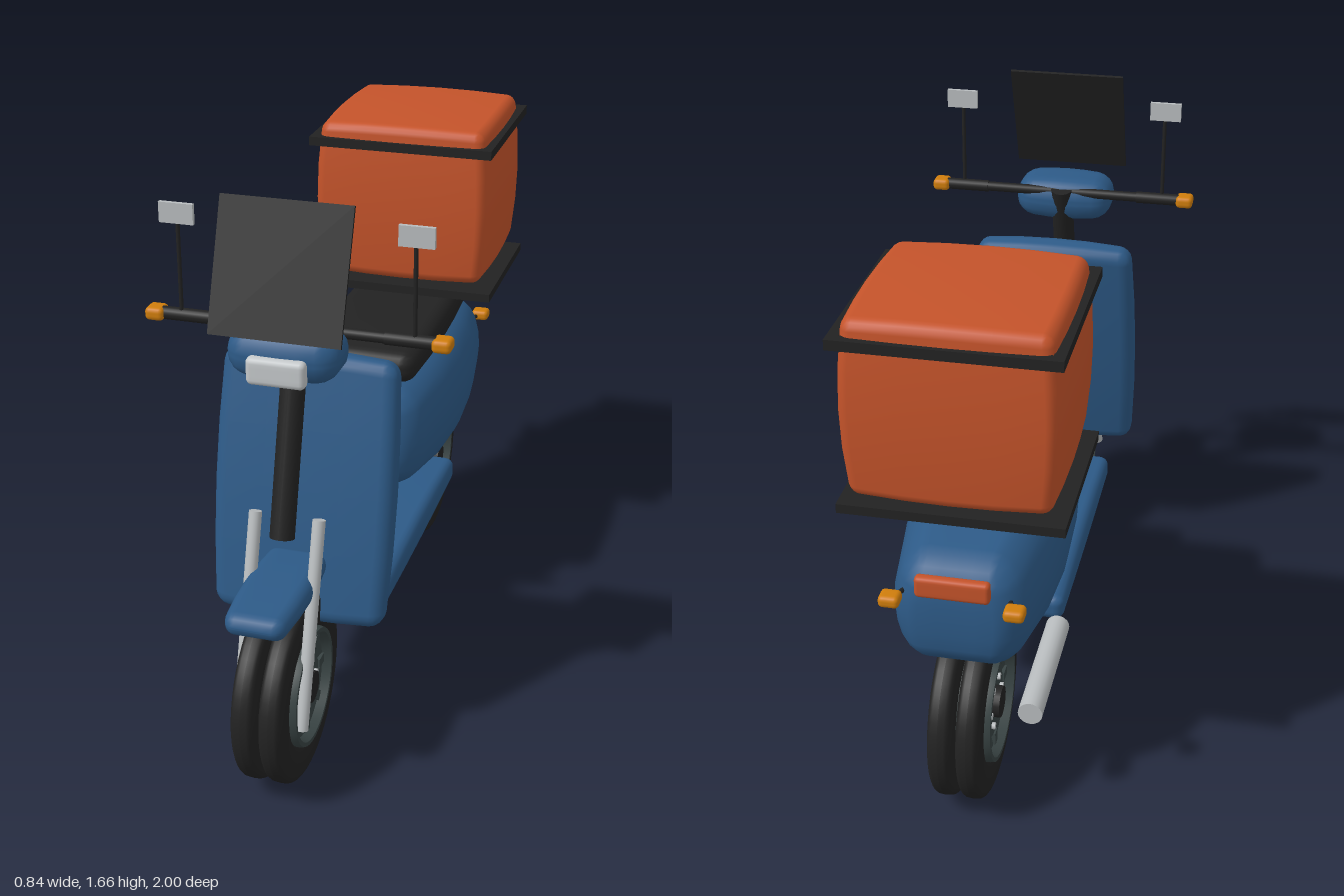
import * as THREE from 'three';
import { mergeVertices, toCreasedNormals } from 'three/addons/utils/BufferGeometryUtils.js';

const paint = (name, color) => new THREE.MeshStandardMaterial({ name, color });
const blue = paint('body blue', 0x2d5a87);
const orange = paint('cargo orange', 0xc4532a);
const black = paint('rubber black', 0x222222);
const slate = paint('rim slate', 0x384343);
const silver = paint('silver', 0xb8bcbe);
const lens = paint('lamp lens', 0xc4c8ca);
const amber = paint('signal amber', 0xcf7d0c);

function add(parent, name, geometry, material, x = 0, y = 0, z = 0) {
  const mesh = new THREE.Mesh(geometry, material);
  mesh.name = name;
  mesh.position.set(x, y, z);
  parent.add(mesh);
  return mesh;
}

// Rounded, pillowed box. A taper such as { yz: 0.2 } shrinks y by 20% towards the z ends.
function pillow(hx, hy, hz, r, taper = {}) {
  const half = [hx, hy, hz];
  const geo = new THREE.BoxGeometry(8, 8, 8, 8, 8, 8);
  geo.deleteAttribute('uv');
  geo.deleteAttribute('normal');
  const pos = geo.attributes.position;
  const axes = 'xyz';
  for (let i = 0; i < pos.count; i++) {
    const grid = [pos.getX(i), pos.getY(i), pos.getZ(i)].map(Math.round);
    const p = grid.map((k, a) => {
      const h = half[a] - r;
      return Math.sign(k) * [0, h / 2, h, h + 0.414 * r, half[a]][Math.abs(k)];
    });
    const inner = p.map((v, a) => THREE.MathUtils.clamp(v, r - half[a], half[a] - r));
    const dir = new THREE.Vector3(...p.map((v, a) => v - inner[a])).setLength(r);
    const q = dir.toArray().map((v, a) => v + inner[a]);
    const n = q.map((v, a) => v / half[a]);
    const out = q.map((v, a) => {
      let s = 1;
      for (let b = 0; b < 3; b++) s -= (taper[axes[a] + axes[b]] || 0) * n[b] * n[b];
      return v * s;
    });
    pos.setXYZ(i, ...out);
  }
  const welded = mergeVertices(geo, 1e-5);
  welded.computeVertexNormals();
  return welded;
}

// Straight round bar between two points
function rod(parent, name, a, b, radius, material, sides = 20) {
  const from = new THREE.Vector3(...a), to = new THREE.Vector3(...b);
  const dir = to.clone().sub(from);
  const mesh = add(parent, name, new THREE.CylinderGeometry(radius, radius, dir.length(), sides), material);
  mesh.position.copy(from).add(to).multiplyScalar(0.5);
  mesh.quaternion.setFromUnitVectors(new THREE.Vector3(0, 1, 0), dir.normalize());
  return mesh;
}

function makeWheel(name, z) {
  const wheel = new THREE.Group();
  wheel.name = name;
  wheel.position.set(0, 0.273, z);

  // Twin tyres with a gap between them
  const section = [];
  for (let i = 0; i <= 20; i++) {
    const t = (i / 20) * Math.PI * 2, c = Math.cos(t), s = Math.sin(t);
    section.push(new THREE.Vector2(
      0.219 + 0.054 * Math.sign(c) * Math.abs(c) ** 0.6,
      0.034 * Math.sign(s) * Math.abs(s) ** 0.6));
  }
  const tyre = new THREE.LatheGeometry(section, 48).rotateZ(-Math.PI / 2);

  // Dished rim, mirrored about its middle
  const side = [[0, 0.06], [0.105, 0.06], [0.115, 0.052], [0.148, 0.058], [0.155, 0.084], [0.167, 0.084], [0.17, 0.07]];
  const profile = [
    ...side.map(([r, y]) => new THREE.Vector2(r, -y)),
    ...side.slice().reverse().map(([r, y]) => new THREE.Vector2(r, y))];
  const rim = new THREE.LatheGeometry(profile, 40).rotateZ(-Math.PI / 2);
  add(wheel, 'rim', toCreasedNormals(rim, 0.5), slate);
  add(wheel, 'hub', new THREE.CylinderGeometry(0.045, 0.045, 0.165, 20).rotateZ(Math.PI / 2), black);

  for (const s of [-1, 1]) {
    add(wheel, 'tyre', tyre, black, s * 0.039);
    for (let i = 0; i < 8; i++) {
      const a = (i / 8) * Math.PI * 2;
      const spoke = add(wheel, 'spoke', new THREE.BoxGeometry(0.016, 0.045, 0.028), slate,
        s * 0.056, Math.cos(a) * 0.13, Math.sin(a) * 0.13);
      spoke.rotation.x = a;
    }
    for (let i = 0; i < 6; i++) {
      const a = ((i + 0.5) / 6) * Math.PI * 2;
      add(wheel, 'wheelBolt', new THREE.CylinderGeometry(0.01, 0.01, 0.016, 8).rotateZ(Math.PI / 2), silver,
        s * 0.062, Math.cos(a) * 0.07, Math.sin(a) * 0.07);
    }
  }
  return wheel;
}

export function createModel() {
  const model = new THREE.Group();
  model.name = 'deliveryScooter';
  model.add(makeWheel('frontWheel', 0.728), makeWheel('rearWheel', -0.728));

  // Blue bodywork
  add(model, 'rearBody', pillow(0.222, 0.2, 0.463, 0.085, { yz: 0.2, xz: 0.25, xy: 0.2, zy: 0.04 }), blue, 0, 0.67, -0.462);
  add(model, 'floorboard', pillow(0.2, 0.05, 0.427, 0.03, { yz: 0.25 }), blue, 0, 0.395, -0.013);
  add(model, 'legShield', pillow(0.258, 0.387, 0.058, 0.04, { zy: 0.2, zx: 0.15, xy: 0.05, yx: 0.03 }), blue, 0, 0.79, 0.523)
    .rotation.x = -0.196;
  add(model, 'frontFender', pillow(0.095, 0.038, 0.2, 0.034, { yz: 0.2, xz: 0.15 }), blue, 0, 0.6, 0.787);

  // Seat
  add(model, 'seat', pillow(0.178, 0.06, 0.365, 0.045, { yz: 0.22, xz: 0.06, yx: 0.05 }), black, 0, 0.932, -0.345);

  // Cargo box on its rack, with a band under the lid
  add(model, 'rack', new THREE.BoxGeometry(0.59, 0.026, 0.5), black, 0, 1.003, -0.7);
  add(model, 'cargoBox', pillow(0.283, 0.257, 0.273, 0.03, { xy: 0.06, zy: 0.05, yx: 0.025, yz: 0.025, xz: 0.03, zx: 0.03 }),
    orange, 0, 1.29, -0.7);
  for (const s of [-1, 1]) {
    add(model, 'lidBandSide', new THREE.BoxGeometry(0.03, 0.028, 0.55), black, s * 0.276, 1.478, -0.702);
    add(model, 'lidBandEnd', new THREE.BoxGeometry(0.582, 0.028, 0.03), black, 0, 1.478, -0.702 + s * 0.26);
  }

  // Steering column, handlebar and headlight
  rod(model, 'steeringColumn', [0, 0.74, 0.735], [0, 1.3, 0.577], 0.034, black);
  rod(model, 'handlebar', [-0.38, 1.288, 0.583], [0.38, 1.288, 0.583], 0.015, black);
  add(model, 'headlightPod', pillow(0.152, 0.067, 0.094, 0.055, { yx: 0.15, zx: 0.2 }), blue, 0, 1.255, 0.655);
  add(model, 'headlight', pillow(0.08, 0.038, 0.02, 0.015), lens, 0, 1.232, 0.75);
  add(model, 'windscreen', new THREE.BoxGeometry(0.355, 0.357, 0.009), black, 0, 1.49, 0.703).rotation.x = -0.357;

  // Mirrored pairs
  for (const s of [-1, 1]) {
    rod(model, 'forkLeg', [s * 0.09, 0.225, 0.865], [s * 0.09, 0.785, 0.69], 0.018, silver);
    rod(model, 'handGrip', [s * 0.24, 1.288, 0.583], [s * 0.375, 1.288, 0.583], 0.018, black);
    rod(model, 'mirrorStem', [s * 0.32, 1.29, 0.587], [s * 0.32, 1.575, 0.587], 0.006, black, 8);
    add(model, 'mirror', new THREE.BoxGeometry(0.095, 0.056, 0.012), silver, s * 0.322, 1.573, 0.587);
    add(model, 'frontSignal', pillow(0.026, 0.018, 0.028, 0.012), amber, s * 0.393, 1.288, 0.583);
    add(model, 'rearSignal', pillow(0.028, 0.017, 0.026, 0.012), amber, s * 0.165, 0.742, -0.946);
    rod(model, 'rearSignalStalk', [s * 0.13, 0.735, -0.86], [s * 0.16, 0.742, -0.94], 0.007, black, 8);
  }

  // Tail light and exhaust
  add(model, 'tailLight', pillow(0.1, 0.031, 0.016, 0.012), orange, 0, 0.788, -0.937);
  rod(model, 'exhaust', [-0.19, 0.36, -0.46], [-0.19, 0.36, -0.87], 0.034, silver);
  return model;
}
